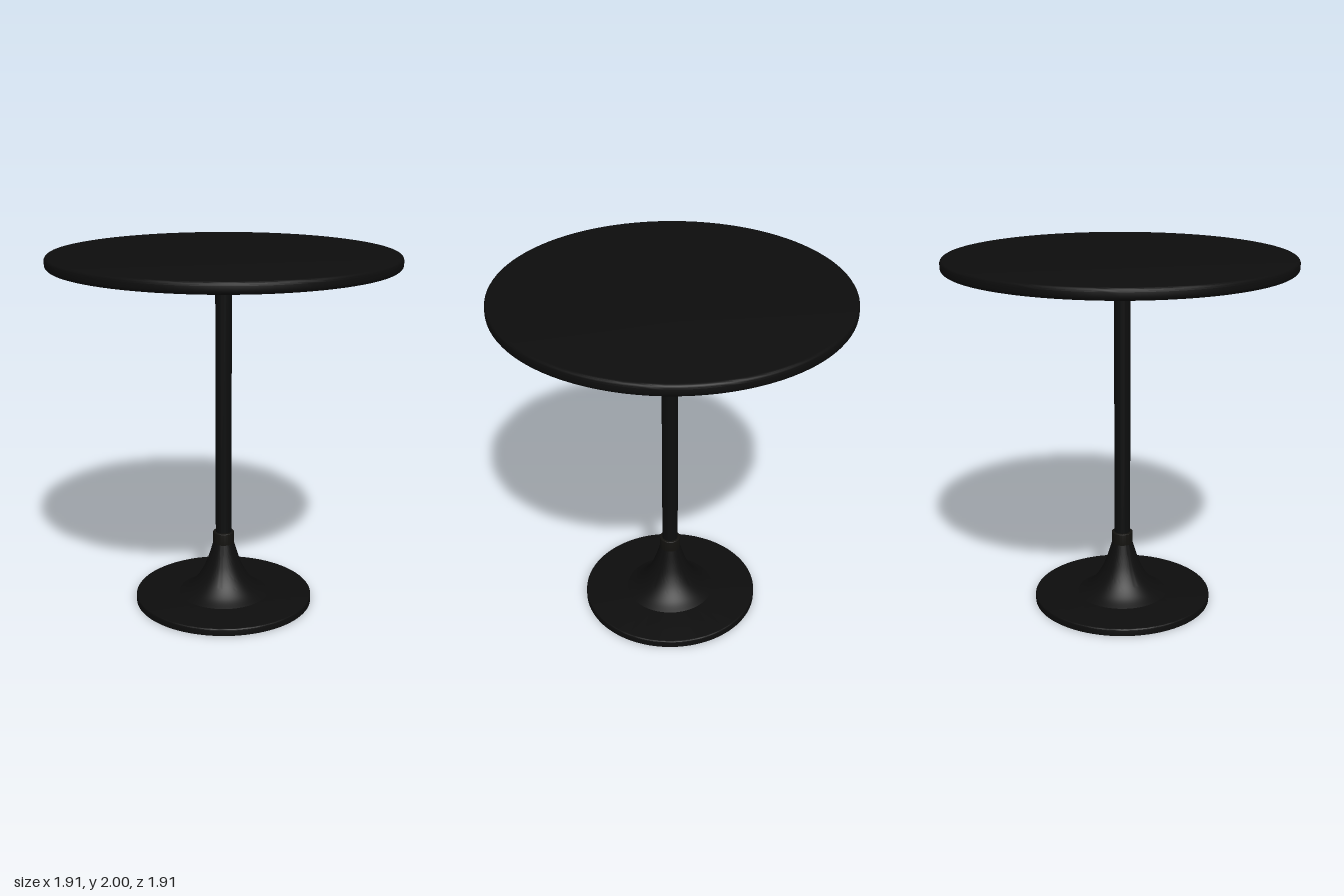
import * as THREE from 'three';
import { toCreasedNormals } from 'three/addons/utils/BufferGeometryUtils.js';

const SEGMENTS = 96;
const STAND_Z = 0.015; // the stand sits slightly forward of the top's centre

// Revolves a [radius, height] profile, listed bottom to top, into a named mesh.
function turned(name, profile, color, z = 0) {
  const points = profile.map(([r, y]) => new THREE.Vector2(r, y));
  const geometry = toCreasedNormals(new THREE.LatheGeometry(points, SEGMENTS), 0.5);
  const mesh = new THREE.Mesh(geometry, new THREE.MeshStandardMaterial({ color }));
  mesh.name = name;
  mesh.position.z = z;
  return mesh;
}

// Closed disc profile with a rounded rim.
function discProfile(radius, y0, y1, bottomBevel, topBevel, steps = 4) {
  const profile = [[0, y0]];
  const corner = (bevel, y, start) => {
    if (!bevel) return profile.push([radius, y]);
    for (let i = 0; i <= steps; i++) {
      const a = start + (i / steps) * Math.PI / 2;
      profile.push([radius - bevel + Math.cos(a) * bevel, y + Math.sin(a) * bevel]);
    }
  };
  corner(bottomBevel, y0 + bottomBevel, -Math.PI / 2);
  corner(topBevel, y1 - topBevel, 0);
  profile.push([0, y1]);
  return profile;
}

export function createModel() {
  const table = new THREE.Group();
  table.name = 'pedestalTable';

  // Round top with a softened edge
  table.add(turned('tableTop', discProfile(0.955, 1.937, 2, 0.02, 0.02), 0x0d0d0d));

  // Slim column
  table.add(turned('column', discProfile(0.045, 0.38, 1.94, 0, 0), 0x0c0d0d, STAND_Z));

  // Collar joining the column to the flared foot
  table.add(turned('collar', discProfile(0.06, 0.335, 0.41, 0, 0.004), 0x12110e, STAND_Z));

  // Trumpet-shaped flare
  const flare = new THREE.SplineCurve([
    [0.26, 0.038], [0.205, 0.07], [0.155, 0.12], [0.115, 0.185], [0.085, 0.26], [0.059, 0.345],
  ].map(([r, y]) => new THREE.Vector2(r, y)));
  const flareProfile = flare.getPoints(24).map((p) => [p.x, p.y]);
  table.add(turned('flare', flareProfile, 0x0d0d0d, STAND_Z));

  // Flat floor plate
  table.add(turned('basePlate', discProfile(0.505, 0, 0.04, 0, 0.008), 0x0d0d0d, STAND_Z));

  return table;
}
